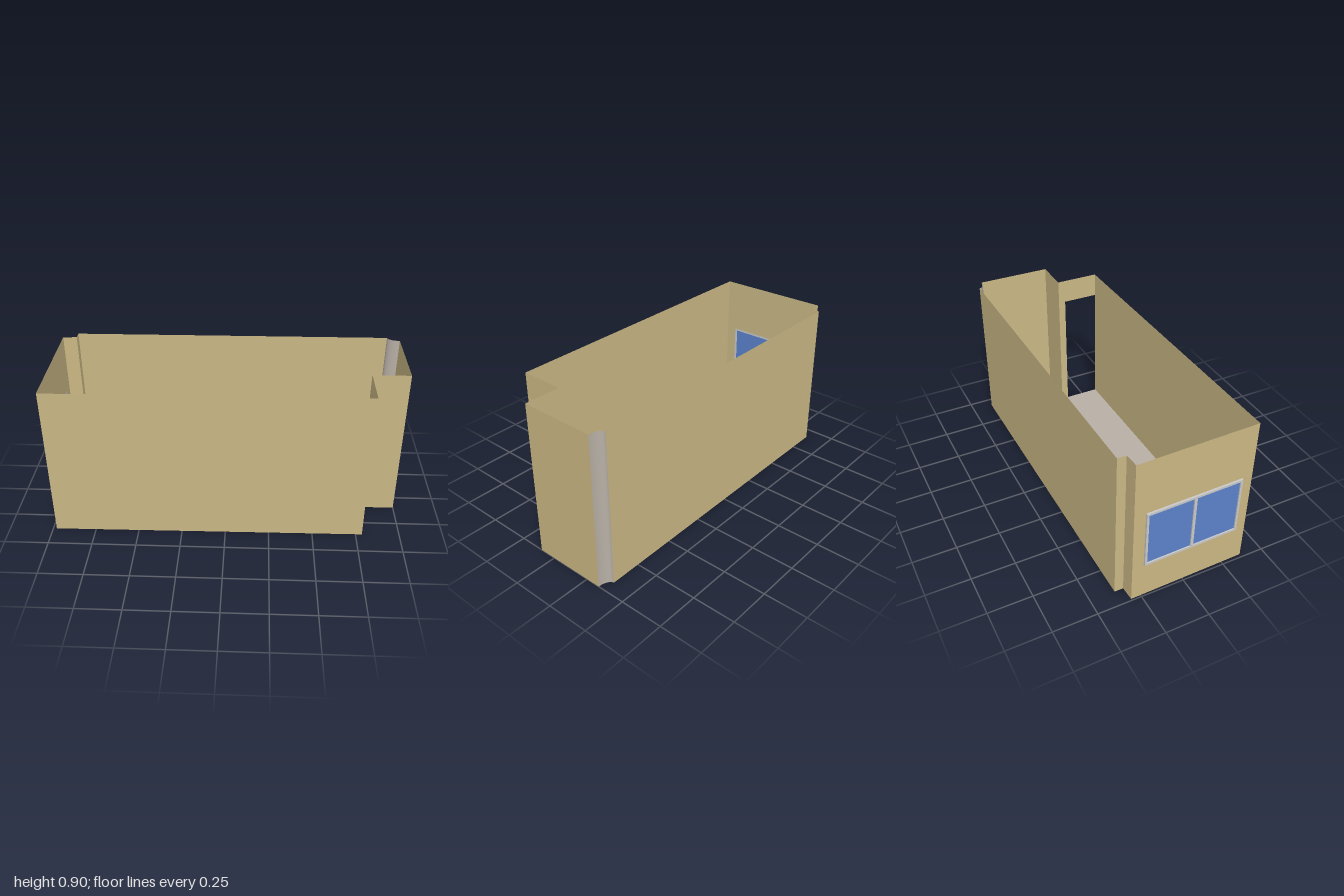
import * as THREE from 'three';

const H = 0.9;
const mat = (name, color) =>
  new THREE.MeshStandardMaterial({ name, color, side: THREE.DoubleSide });

const rectPath = (Type, u0, y0, u1, y1) => new Type([
  [u0, y0], [u1, y0], [u1, y1], [u0, y1],
].map(([u, y]) => new THREE.Vector2(u, y)));

export function createModel() {
  const group = new THREE.Group();
  group.name = 'room';
  const wallMat = mat('tan wall', 0xcab784);
  const stoneMat = mat('warm grey', 0xb8b0a6);
  const frameMat = mat('window frame grey', 0xc9c9c9);
  const glassMat = mat('blue glass', 0x5b82cb);

  const add = (parent, name, geometry, material) => {
    const mesh = new THREE.Mesh(geometry, material);
    mesh.name = name;
    parent.add(mesh);
    return mesh;
  };

  // Floor plan corners as [x, z]; the corner column links index 4 to 5
  const plan = [
    [-0.98, 0.372], [0.787, 0.356], [0.787, 0.1], [1, 0.1], [1, -0.335],
    [0.93, -0.373], [-0.91, -0.36], [-0.91, -0.31], [-0.99, -0.305],
  ];
  const names = ['frontWall', 'doorWall', 'recessWall', 'leftWall', null,
    'backWall', 'notchSide', 'notchBack', 'windowWall'];

  // Concave quarter curve of the corner column
  const arc = [];
  for (let i = 0; i <= 12; i++) {
    const t = (i / 12) * Math.PI / 2;
    arc.push([1 - 0.07 * Math.sin(t), -0.373 + 0.038 * Math.cos(t)]);
  }

  // Places an object so its local x runs along the wall and z points outward
  const align = (object, a, b) => {
    object.position.set(a[0], 0, a[1]);
    object.rotation.y = Math.atan2(a[1] - b[1], b[0] - a[0]);
  };

  const win = { u0: 0.065, u1: 0.616, y0: 0.225, y1: 0.576 };

  // Thin walls
  plan.forEach((a, i) => {
    if (!names[i]) return;
    const b = plan[(i + 1) % plan.length];
    const len = Math.hypot(b[0] - a[0], b[1] - a[1]);
    let shape = rectPath(THREE.Shape, 0, 0, len, H);
    if (names[i] === 'doorWall') {
      // doorway reaches the front corner, leaving a lintel and a jamb
      shape = new THREE.Shape([
        [0.213, 0], [len, 0], [len, H], [0, H], [0, 0.753], [0.213, 0.753],
      ].map(([u, y]) => new THREE.Vector2(u, y)));
    }
    if (names[i] === 'windowWall') {
      shape.holes.push(rectPath(THREE.Path, win.u0, win.y0, win.u1, win.y1));
    }
    align(add(group, names[i], new THREE.ShapeGeometry(shape), wallMat), a, b);
  });

  // Rounded column in the back corner
  const column = new THREE.PlaneGeometry(1, H, arc.length - 1, 1);
  const pos = column.attributes.position;
  for (let i = 0; i < pos.count; i++) {
    const [x, z] = arc[i % arc.length];
    pos.setXYZ(i, x, pos.getY(i) + H / 2, z);
  }
  column.computeVertexNormals();
  add(group, 'cornerColumn', column, stoneMat);

  // Floor
  const outline = [...plan.slice(0, 4), ...arc, ...plan.slice(6)];
  const floor = new THREE.ShapeGeometry(
    new THREE.Shape(outline.map(([x, z]) => new THREE.Vector2(x, -z))));
  floor.rotateX(-Math.PI / 2);
  add(group, 'floor', floor, stoneMat);

  // Two-pane window
  const windowGroup = new THREE.Group();
  windowGroup.name = 'window';
  align(windowGroup, plan[8], plan[0]);
  group.add(windowGroup);
  const border = 0.013;
  const mid = (win.u0 + win.u1) / 2;
  const frame = rectPath(THREE.Shape, win.u0, win.y0, win.u1, win.y1);
  const panes = [[win.u0 + border, mid - 0.008], [mid + 0.008, win.u1 - border]];
  panes.forEach(([u0, u1], i) => {
    const args = [u0, win.y0 + border, u1, win.y1 - border];
    frame.holes.push(rectPath(THREE.Path, ...args));
    const glass = new THREE.ShapeGeometry(rectPath(THREE.Shape, ...args));
    add(windowGroup, `glassPane${i + 1}`, glass, glassMat).position.z = 0.004;
  });
  add(windowGroup, 'windowFrame',
    new THREE.ExtrudeGeometry(frame, { depth: 0.011, bevelEnabled: false }), frameMat);

  return group;
}
